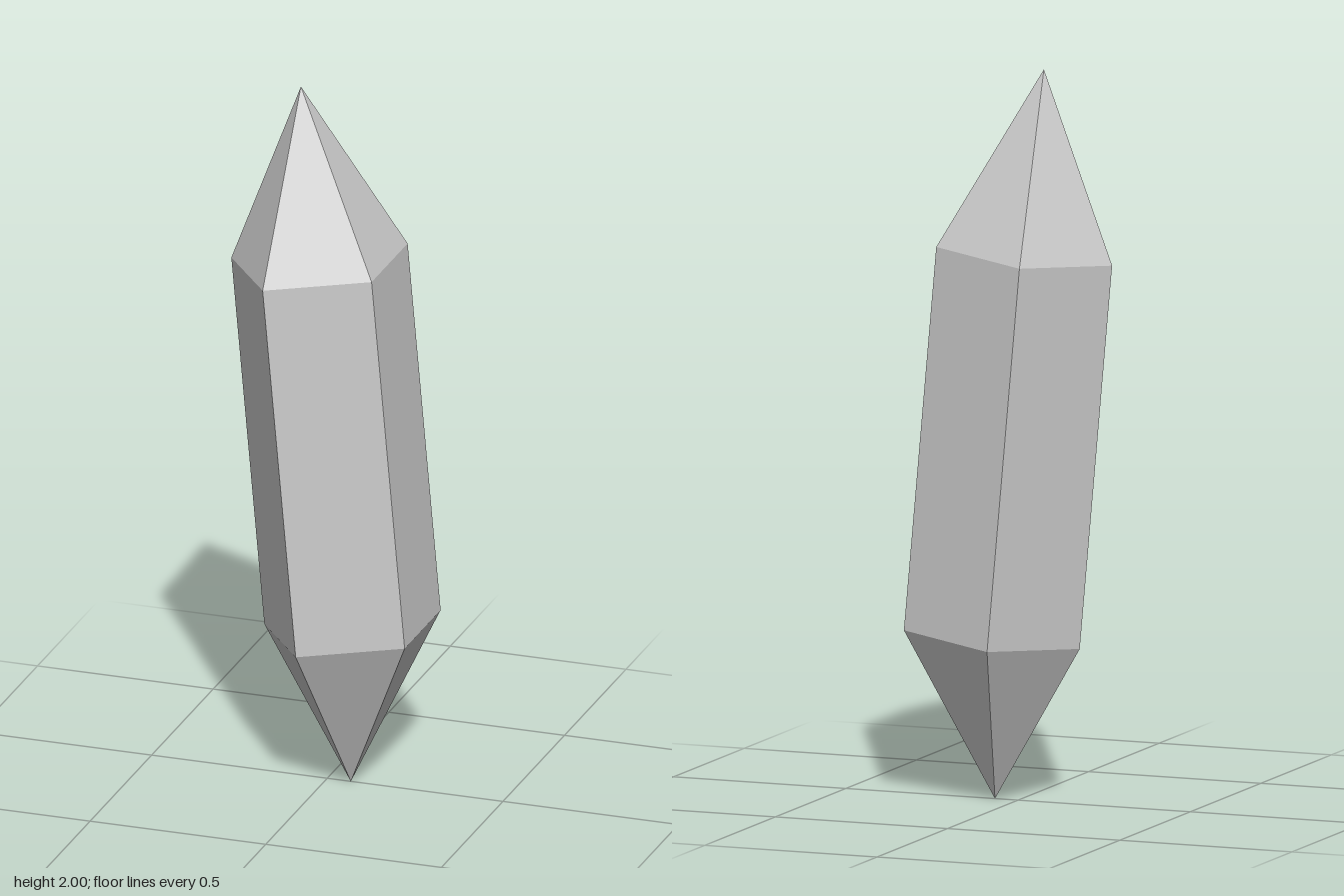
import * as THREE from 'three';

const SIDES = 5;
const RADIUS = 0.249;
const TILT = 0.1; // rise of each ring along x

// Corners of one slightly tilted pentagonal ring
function ring(cx, cy) {
  return Array.from({ length: SIDES }, (_, i) => {
    const a = Math.PI + (i * 2 * Math.PI) / SIDES;
    const x = RADIUS * Math.cos(a);
    return [cx + x, cy + TILT * x, RADIUS * Math.sin(a)];
  });
}

function crystalGeometry() {
  const tip = [-0.075, 2, 0];
  const foot = [0.067, 0.005, 0];
  const upper = ring(-0.024, 1.503);
  const lower = ring(0.07, 0.453);
  const points = [];
  for (let i = 0; i < SIDES; i++) {
    const j = (i + 1) % SIDES;
    points.push(tip, upper[j], upper[i]); // pointed cap
    points.push(upper[i], upper[j], lower[j], upper[i], lower[j], lower[i]); // shaft
    points.push(lower[i], lower[j], foot); // pointed base
  }
  const geometry = new THREE.BufferGeometry();
  geometry.setAttribute('position', new THREE.Float32BufferAttribute(points.flat(), 3));
  geometry.computeVertexNormals();
  return geometry;
}

export function createModel() {
  const group = new THREE.Group();
  group.name = 'crystal';
  const material = new THREE.MeshStandardMaterial({ color: 0xcccccc, flatShading: true });
  const shard = new THREE.Mesh(crystalGeometry(), material);
  shard.name = 'crystalShard';
  group.add(shard);
  return group;
}
